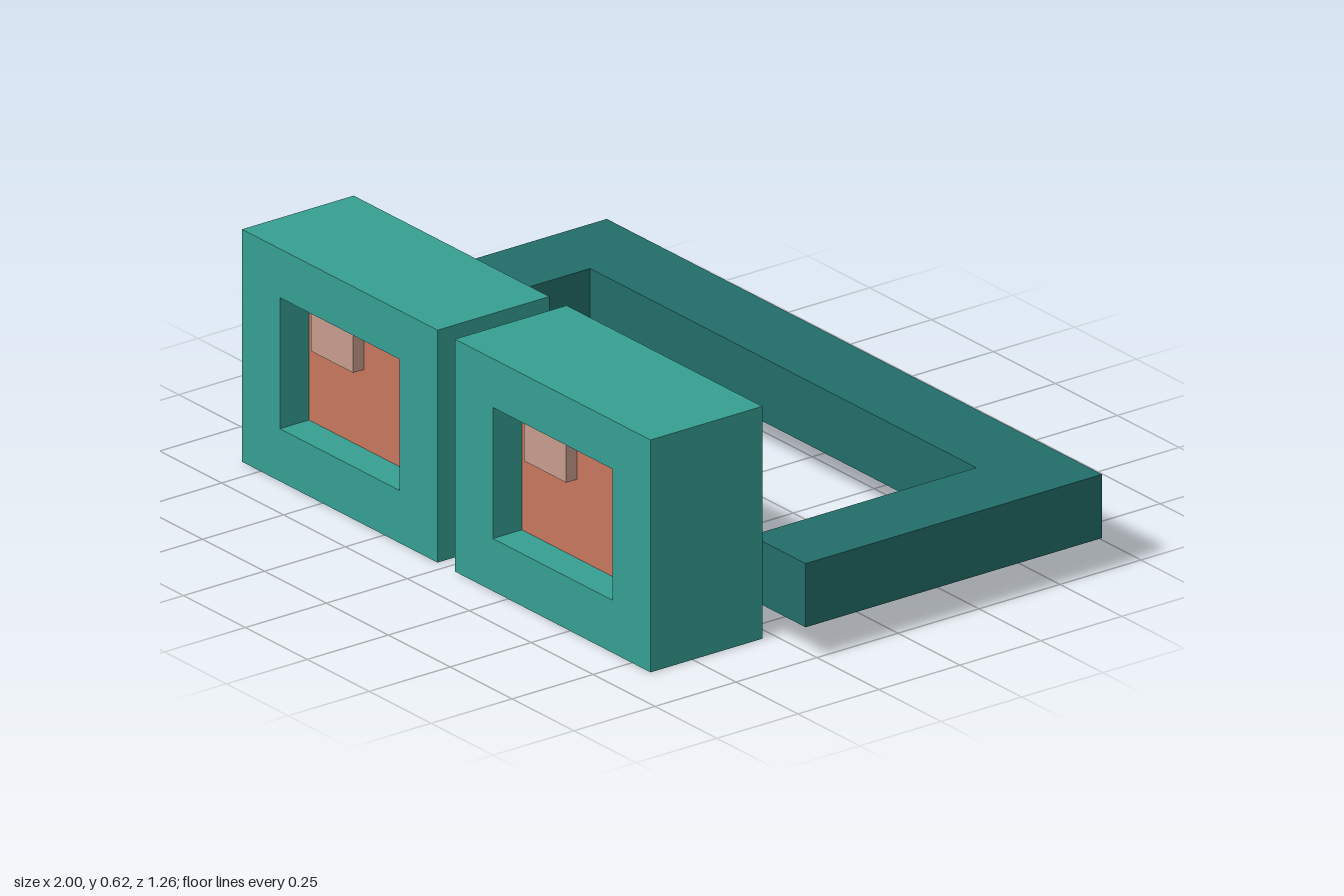
import * as THREE from 'three';

const mat = (name, color) => {
  const m = new THREE.MeshStandardMaterial({ color });
  m.name = name;
  return m;
};

// Box given by its low and high corners
function box(name, material, [x0, y0, z0], [x1, y1, z1]) {
  const mesh = new THREE.Mesh(new THREE.BoxGeometry(x1 - x0, y1 - y0, z1 - z0), material);
  mesh.position.set((x0 + x1) / 2, (y0 + y1) / 2, (z0 + z1) / 2);
  mesh.name = name;
  return mesh;
}

const polygon = (pts) => pts.map(([x, y]) => new THREE.Vector2(x, y));
const rect = (x0, y0, x1, y1) => polygon([[x0, y0], [x1, y0], [x1, y1], [x0, y1]]);

export function createModel() {
  const teal = mat('teal', 0x36a093);
  const darkTeal = mat('dark teal', 0x226e69);
  const coral = mat('coral', 0xc8775e);
  const paleRose = mat('pale rose', 0xc89c8e);

  const model = new THREE.Group();
  model.name = 'glasses';

  for (const side of [-1, 1]) {
    const eye = new THREE.Group();
    eye.name = side > 0 ? 'leftEyepiece' : 'rightEyepiece';
    eye.position.x = side * 0.43;

    // Thick rim with a rectangular opening
    const shape = new THREE.Shape(rect(-0.395, 0, 0.395, 0.62));
    shape.holes.push(new THREE.Path(rect(-0.242, 0.14, 0.242, 0.49)));
    const rim = new THREE.Mesh(
      new THREE.ExtrudeGeometry(shape, { depth: 0.345, bevelEnabled: false }), teal);
    rim.position.z = 0.285;
    rim.name = 'rim';

    // Recessed lens with a raised glint, on the same side of both lenses
    eye.add(
      rim,
      box('lens', coral, [-0.242, 0.14, 0.405], [0.242, 0.49, 0.54]),
      box('glint', paleRose, [-0.19, 0.35, 0.54], [-0.02, 0.455, 0.573]),
    );
    model.add(eye);
  }

  // Bridge between the rims
  model.add(box('bridge', darkTeal, [-0.04, 0.26, 0.405], [0.04, 0.43, 0.575]));

  // U-shaped band: two arms joined behind (drawn in x and -z, raised along y)
  const band = new THREE.Shape(polygon([
    [-1, -0.285], [-0.78, -0.285], [-0.78, 0.41], [0.78, 0.41],
    [0.78, -0.285], [1, -0.285], [1, 0.63], [-1, 0.63],
  ]));
  const arms = new THREE.Mesh(
    new THREE.ExtrudeGeometry(band, { depth: 0.17, bevelEnabled: false }), darkTeal);
  arms.rotation.x = -Math.PI / 2;
  arms.position.y = 0.09;
  arms.name = 'armsAndBackBand';
  model.add(arms);

  return model;
}
